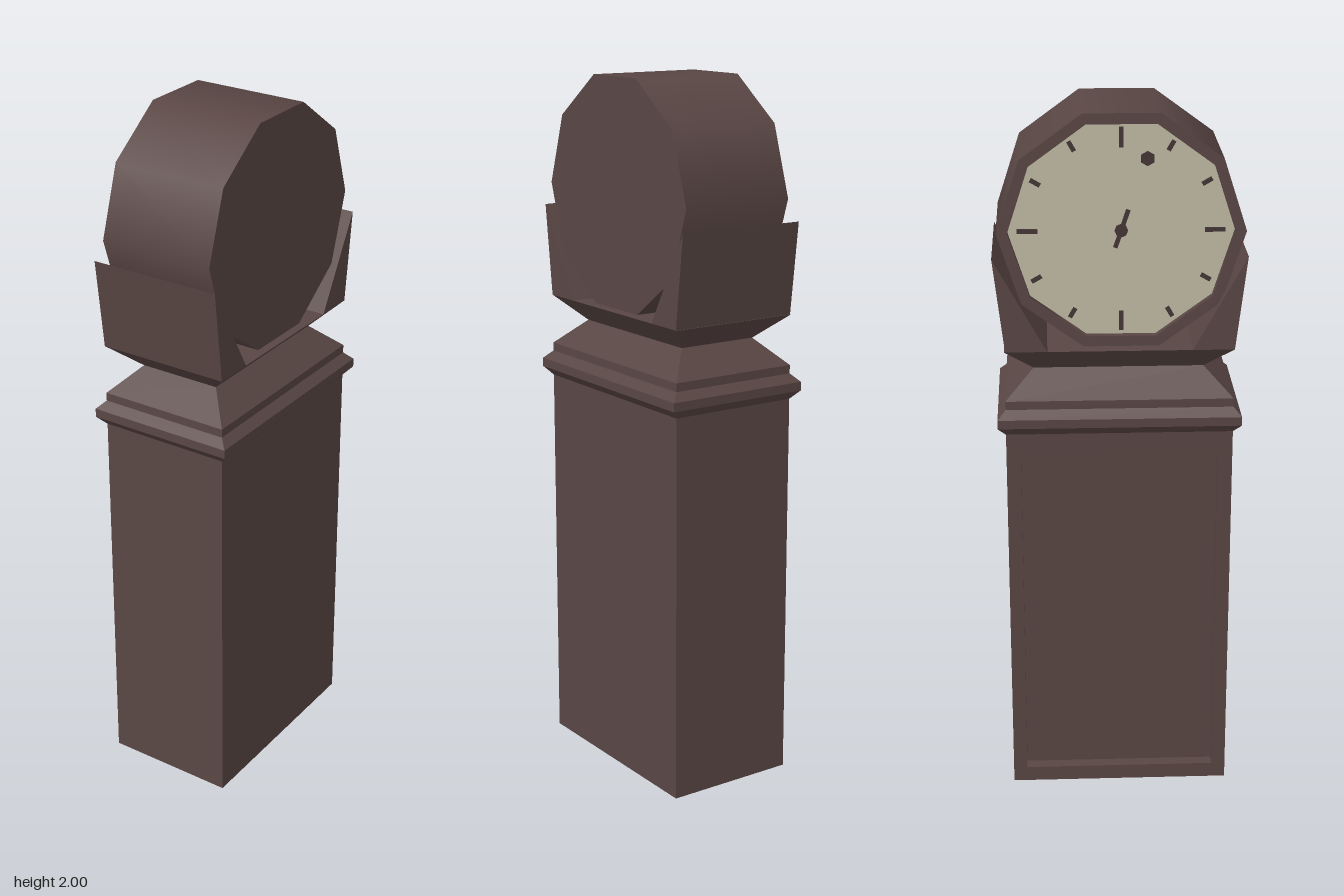
import * as THREE from 'three';

const wood = new THREE.MeshStandardMaterial({ color: 0x594644 });
wood.name = 'dark wood';
const cream = new THREE.MeshStandardMaterial({ color: 0xc2bba4 });
cream.name = 'cream dial';
const ink = new THREE.MeshStandardMaterial({ color: 0x443735 });
ink.name = 'dial markings';

const CX = -0.0015, CZ = -0.004; // centre of the case

function add(parent, name, geometry, material, x = 0, y = 0, z = 0) {
  const mesh = new THREE.Mesh(geometry, material);
  mesh.name = name;
  mesh.position.set(x, y, z);
  parent.add(mesh);
  return mesh;
}

// Stack of rectangles [y, halfX, halfZ] joined by flat faces and capped
function rectLoft(rings) {
  const corners = rings.map(([y, hx, hz]) =>
    [[-hx, y, hz], [hx, y, hz], [hx, y, -hz], [-hx, y, -hz]]);
  const pos = [];
  const quad = (a, b, c, d) => pos.push(...a, ...b, ...c, ...a, ...c, ...d);
  for (let i = 0; i < corners.length - 1; i++) {
    const lo = corners[i], hi = corners[i + 1];
    for (let k = 0; k < 4; k++) {
      const n = (k + 1) % 4;
      quad(lo[k], lo[n], hi[n], hi[k]);
    }
  }
  quad(...corners[corners.length - 1]);
  quad(...[...corners[0]].reverse());
  const g = new THREE.BufferGeometry();
  g.setAttribute('position', new THREE.Float32BufferAttribute(pos, 3));
  g.computeVertexNormals();
  return g;
}

// Extrude a (z, y) outline towards -x
function extrudeSide(shape, depth) {
  return new THREE.ExtrudeGeometry(shape, { depth, bevelEnabled: false }).rotateY(-Math.PI / 2);
}

function polygon(points) {
  return new THREE.Shape(points.map(([x, y]) => new THREE.Vector2(x, y)));
}

function rect(x0, x1, y0, y1) {
  return [[x0, y0], [x1, y0], [x1, y1], [x0, y1]];
}

export function createModel() {
  const model = new THREE.Group();
  model.name = 'pedestalClock';

  // Tall case, with a recessed panel on the dial side
  const bodyH = 1.115, hx = 0.193, hz = 0.315, recess = 0.035;
  add(model, 'caseBody', new THREE.BoxGeometry(2 * hx - recess, bodyH, 2 * hz), wood,
    CX + recess / 2, bodyH / 2, CZ);
  const frame = polygon(rect(-hz, hz, 0, bodyH));
  frame.holes.push(polygon(rect(-hz + 0.04, hz - 0.04, 0.045, bodyH - 0.045)));
  add(model, 'doorFrame', extrudeSide(frame, recess), wood, CX - hx + recess, 0, CZ);

  // Moulding, tapered neck and flared seat
  add(model, 'neckMoulding', rectLoft([
    [1.115, 0.193, 0.315], [1.14, 0.216, 0.337], [1.165, 0.216, 0.337],
    [1.188, 0.193, 0.315], [1.212, 0.193, 0.315], [1.285, 0.12, 0.236],
    [1.355, 0.193, 0.315],
  ]), wood, CX, 0, CZ);

  // Wedge cheeks cradling the drum
  for (const s of [1, -1]) {
    const wedge = polygon([[0.2 * s, 1.355], [0.315 * s, 1.355], [0.346 * s, 1.617]]);
    add(model, s > 0 ? 'frontCheek' : 'backCheek', extrudeSide(wedge, 2 * hx), wood,
      CX + hx, 0, s > 0 ? CZ : CZ + 0.003);
  }

  // Ten-sided drum: local +z is the dial side
  const drum = new THREE.Group();
  drum.name = 'clockDrum';
  drum.position.set(0.003, 1.68, 0.002);
  drum.rotation.y = -Math.PI / 2;
  model.add(drum);
  const R = 0.3365, half = 0.169, inner = 0.306, sink = 0.022;
  const tube = (r, len) =>
    new THREE.CylinderGeometry(r, r, len, 10, 1, true, Math.PI / 2).rotateX(Math.PI / 2);
  add(drum, 'drumShell', tube(R, 2 * half), wood);
  add(drum, 'drumBack', new THREE.CircleGeometry(R, 10).rotateY(Math.PI), wood, 0, 0, -half);
  add(drum, 'drumRim', new THREE.RingGeometry(inner, R, 10), wood, 0, 0, half);
  const lip = tube(inner, sink);
  const idx = lip.index.array; // turn the lip to face inwards
  for (let i = 0; i < idx.length; i += 3) [idx[i], idx[i + 1]] = [idx[i + 1], idx[i]];
  const n = lip.attributes.normal;
  for (let i = 0; i < n.count; i++) n.setXYZ(i, -n.getX(i), -n.getY(i), -n.getZ(i));
  add(drum, 'rimLip', lip, wood, 0, 0, half - sink / 2);
  const dialZ = half - sink;
  add(drum, 'dial', new THREE.CircleGeometry(inner, 10), cream, 0, 0, dialZ);

  // Hour marks
  for (let i = 0; i < 12; i++) {
    const a = (i * Math.PI) / 6, len = i % 3 ? 0.03 : 0.055;
    const r = 0.28 - len / 2;
    const mark = add(drum, 'hourMark', new THREE.BoxGeometry(len, 0.012, 0.004), ink,
      r * Math.cos(a), r * Math.sin(a), dialZ + 0.002);
    mark.rotation.z = a;
  }

  // Hub and hands
  add(drum, 'handHub', new THREE.CylinderGeometry(0.018, 0.018, 0.008, 8).rotateX(Math.PI / 2),
    ink, 0, 0, dialZ + 0.004);
  for (const [name, a, len] of [['minuteHand', 1.25, 0.06], ['hourHand', -1.9, 0.05]]) {
    const hand = add(drum, name, new THREE.BoxGeometry(len, 0.012, 0.004), ink,
      (Math.cos(a) * len) / 2, (Math.sin(a) * len) / 2, dialZ + 0.003);
    hand.rotation.z = a;
  }
  const tip = new THREE.CylinderGeometry(0.02, 0.02, 0.005, 6).rotateX(Math.PI / 2);
  add(drum, 'handTip', tip, ink, 0.07, 0.195, dialZ + 0.0025);

  return model;
}
